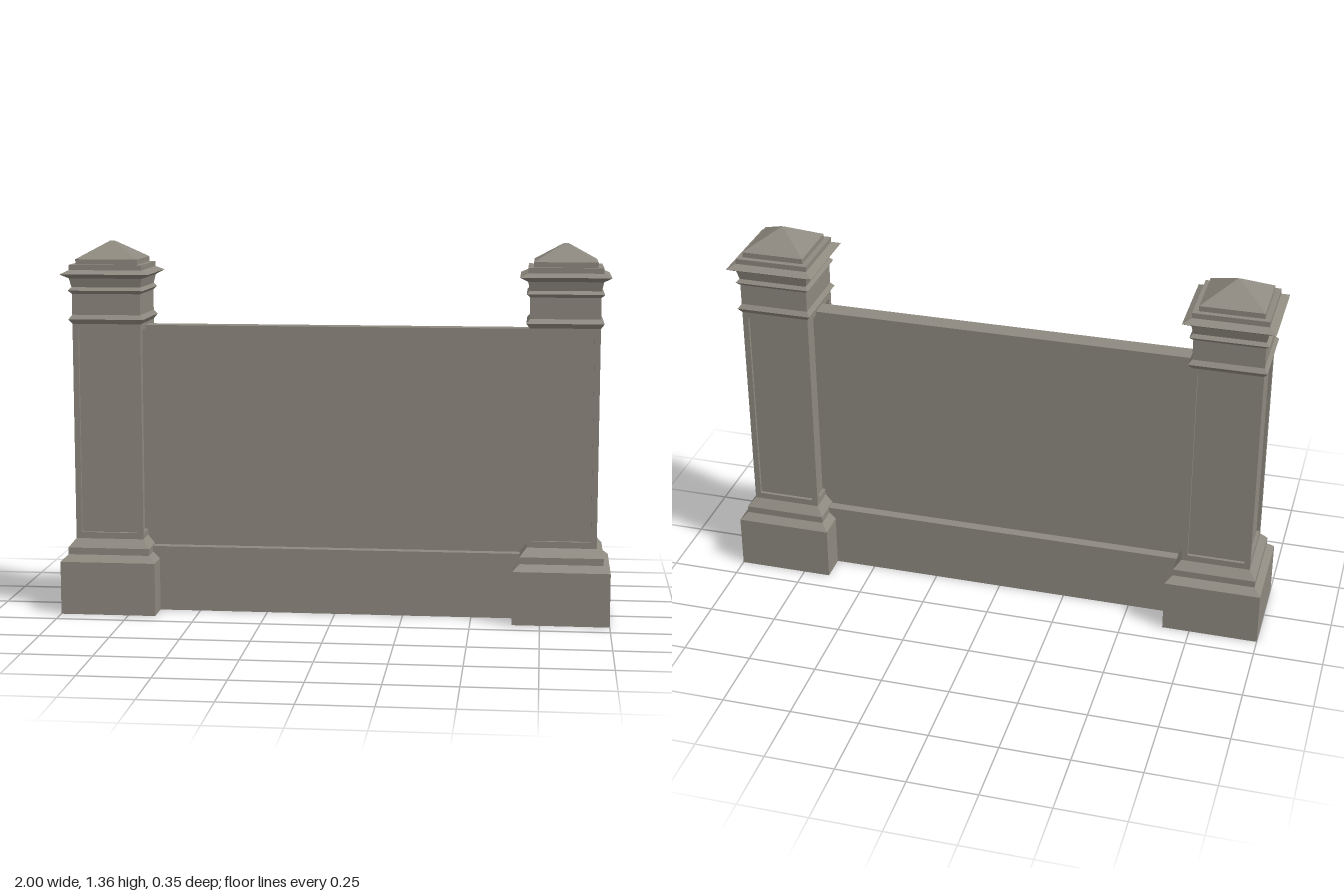
import * as THREE from 'three';

const stone = new THREE.MeshStandardMaterial({ color: 0x8f8a80 });
stone.name = 'stone';

function part(name, geometry, x = 0, y = 0, z = 0) {
  const mesh = new THREE.Mesh(geometry, stone);
  mesh.name = name;
  mesh.position.set(x, y, z);
  return mesh;
}

// Square turned form from [half width, height] pairs, bottom to top, with flat faces
function squareProfile(pairs) {
  const points = pairs.map(([h, y]) => new THREE.Vector2(h * Math.SQRT2, y));
  const geometry = new THREE.LatheGeometry(points, 4, Math.PI / 4).toNonIndexed();
  geometry.computeVertexNormals();
  return geometry;
}

function rectangle(target, halfWidth, bottom, top) {
  target.moveTo(-halfWidth, bottom);
  target.lineTo(halfWidth, bottom);
  target.lineTo(halfWidth, top);
  target.lineTo(-halfWidth, top);
  target.closePath();
  return target;
}

const SHAFT = 0.125, RECESS = 0.012, SHAFT_BOTTOM = 0.275, SHAFT_TOP = 1.066;

// Raised border around a sunken panel
function panelFrame(halfWidth) {
  const shape = rectangle(new THREE.Shape(), halfWidth, SHAFT_BOTTOM, SHAFT_TOP);
  shape.holes.push(rectangle(new THREE.Path(), 0.104, 0.298, 1.043));
  return new THREE.ExtrudeGeometry(shape, { depth: RECESS, bevelEnabled: false });
}

function createPillar() {
  const pillar = new THREE.Group();

  // Plinth with stepped, sloping mouldings
  pillar.add(part('plinth', squareProfile([
    [0, 0], [0.175, 0], [0.175, 0.195], [0.15, 0.219],
    [0.15, 0.244], [SHAFT, SHAFT_BOTTOM], [0, SHAFT_BOTTOM],
  ])));

  // Shaft core and the four frames that leave sunken panels
  const core = SHAFT - RECESS;
  pillar.add(part('shaftCore', squareProfile([[core, SHAFT_BOTTOM], [core, SHAFT_TOP]])));
  for (let i = 0; i < 4; i++) {
    const frame = part('panelFrame', panelFrame(i % 2 ? core : SHAFT));
    const angle = i * Math.PI / 2;
    frame.rotation.y = angle;
    frame.position.set(Math.sin(angle) * core, 0, Math.cos(angle) * core);
    pillar.add(frame);
  }

  // Neck with two thin pointed bands
  pillar.add(part('neck', squareProfile([
    [0, SHAFT_TOP], [SHAFT, SHAFT_TOP], [0.137, 1.083], [SHAFT, 1.099],
    [SHAFT, 1.175], [0.137, 1.187], [0.126, 1.199],
  ])));

  // Flared cornice, steps and pyramid cap
  pillar.add(part('cornice', squareProfile([
    [0.126, 1.199], [0.133, 1.231], [0.161, 1.247], [0.133, 1.261],
    [0.133, 1.28], [0.113, 1.28],
  ])));
  pillar.add(part('pyramidCap', squareProfile([
    [0.113, 1.28], [0.113, 1.299], [0.008, 1.361], [0, 1.362],
  ])));
  return pillar;
}

export function createModel() {
  const model = new THREE.Group();
  model.name = 'wallWithPillars';

  for (const side of [1, -1]) {
    const pillar = createPillar();
    pillar.name = side > 0 ? 'leftPillar' : 'rightPillar';
    pillar.position.x = side * 0.825;
    model.add(pillar);
  }

  // Thin wall on a thicker footing, both ending inside the pillars
  model.add(part('wallFooting', new THREE.BoxGeometry(1.4, 0.24, 0.144), 0, 0.12, 0));
  model.add(part('wallPanel', new THREE.BoxGeometry(1.5, 0.816, 0.07), 0, 0.648, 0));
  return model;
}
